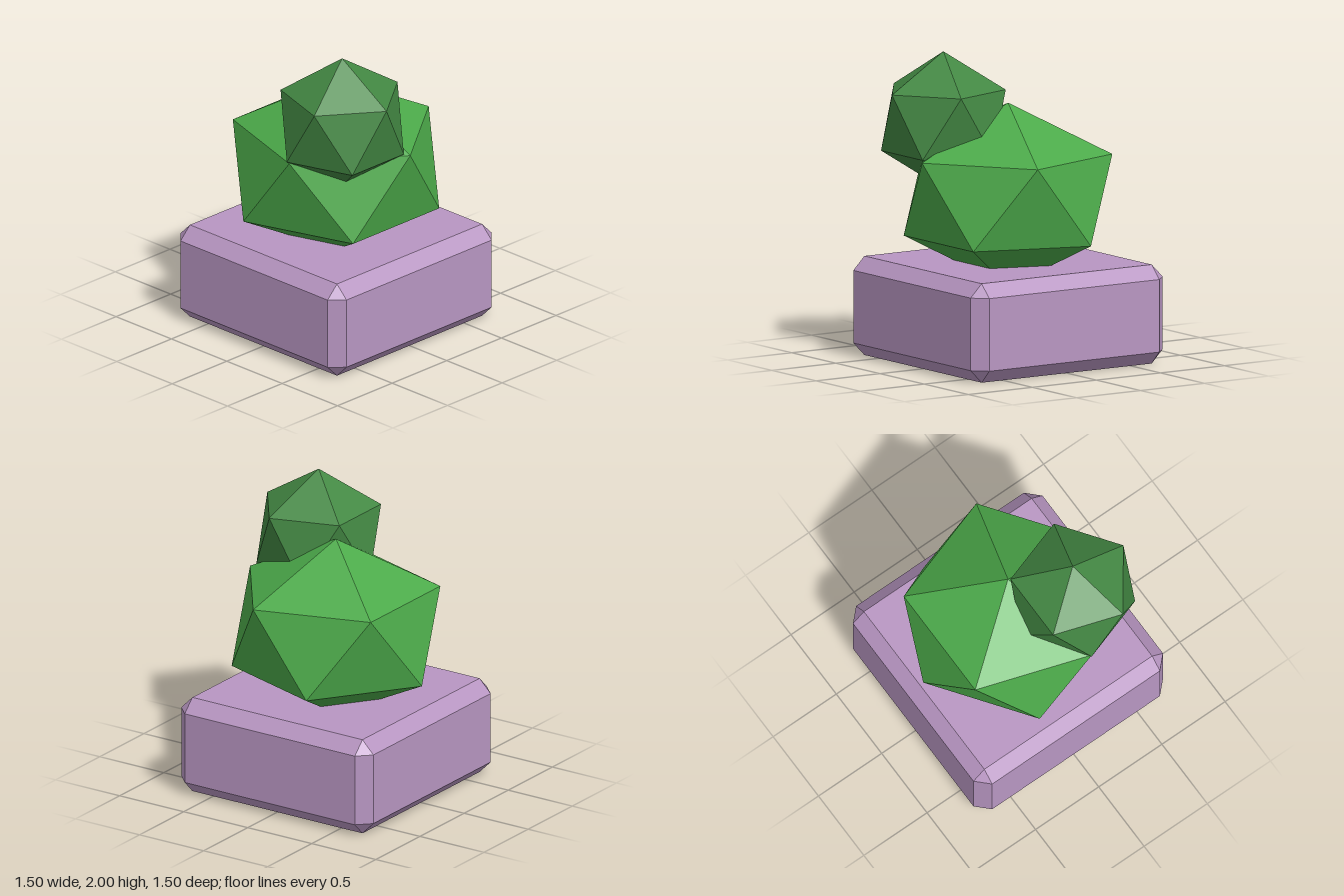
import * as THREE from 'three';
import { ConvexGeometry } from 'three/addons/geometries/ConvexGeometry.js';

const flat = (name, color) => {
  const m = new THREE.MeshStandardMaterial({ color, flatShading: true });
  m.name = name;
  return m;
};

// Box with chamfered edges and three-sided corner facets
function chamferBox(hx, hy, hz, c) {
  const points = [];
  for (const x of [-1, 1]) for (const y of [-1, 1]) for (const z of [-1, 1]) {
    points.push(
      new THREE.Vector3(x * hx, y * (hy - c), z * (hz - c)),
      new THREE.Vector3(x * (hx - c), y * hy, z * (hz - c)),
      new THREE.Vector3(x * (hx - c), y * (hy - c), z * hz));
  }
  return new ConvexGeometry(points);
}

// Icosahedron standing on a corner, upper ring starting at +x
function lobe(radius, squash) {
  return new THREE.IcosahedronGeometry(radius, 0)
    .rotateX(-Math.atan((1 + Math.sqrt(5)) / 2))
    .rotateY(Math.PI / 2)
    .scale(1, squash, 1);
}

export function createModel() {
  const group = new THREE.Group();
  group.name = 'pottedPlant';
  const add = (name, geometry, material, x, y, z) => {
    const mesh = new THREE.Mesh(geometry, material);
    mesh.name = name;
    mesh.position.set(x, y, z);
    group.add(mesh);
  };

  // Square planter
  add('planter', chamferBox(0.75, 0.3225, 0.75, 0.086), flat('mauve', 0xb896c2), 0, 0.3225, 0);
  // Large squat lobe and small upper lobe
  add('largeLobe', lobe(0.75, 0.8), flat('leafGreen', 0x4caa4a), 0, 1.072, 0);
  add('smallLobe', lobe(0.448, 1), flat('darkGreen', 0x438843), 0.32, 1.552, 0.268);

  return group;
}
